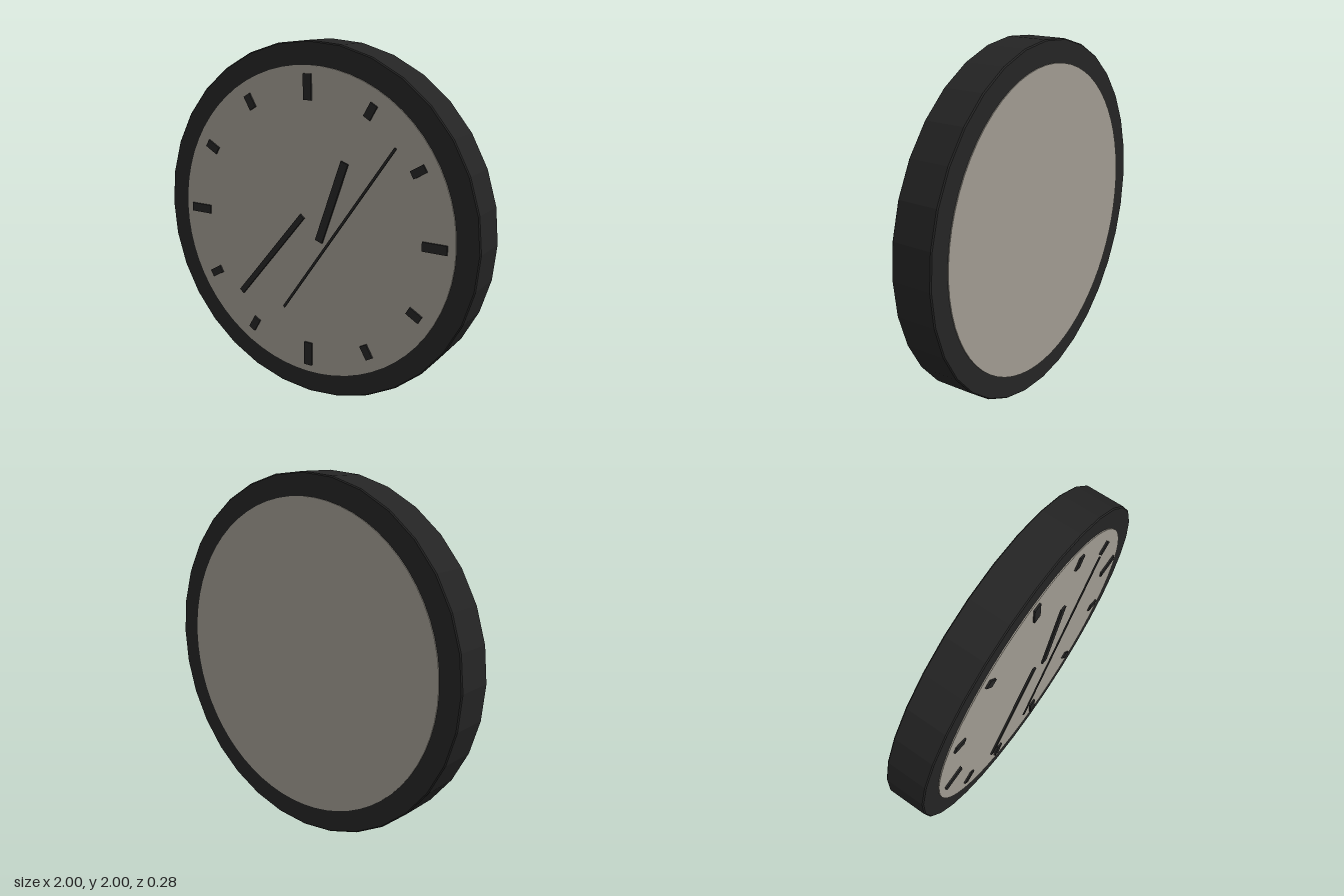
import * as THREE from 'three';

const dark = new THREE.MeshStandardMaterial({ color: 0x242424 });
dark.name = 'charcoal';
const pale = new THREE.MeshStandardMaterial({ color: 0xa09b91 });
pale.name = 'warm grey';

const CENTER_Y = 1;

function add(parent, name, geometry, material) {
  const mesh = new THREE.Mesh(geometry, material);
  mesh.name = name;
  parent.add(mesh);
  return mesh;
}

// Thin bar on the dial, tilted clockwise from twelve o'clock
function bar(parent, name, [x, y, z], width, length, depth, degrees) {
  const mesh = add(parent, name, new THREE.BoxGeometry(width, length, depth), dark);
  mesh.position.set(x, y, z);
  mesh.rotation.z = -THREE.MathUtils.degToRad(degrees);
  return mesh;
}

export function createModel() {
  const clock = new THREE.Group();
  clock.name = 'wallClock';
  const body = new THREE.Group();
  body.name = 'clockBody';
  body.position.y = CENTER_Y;
  clock.add(body);

  // Faceted rim with slightly bevelled outer edges
  const profile = [
    [0.85, -0.136], [0.994, -0.136], [1, -0.13], [1, 0.09],
    [0.994, 0.096], [0.85, 0.096], [0.85, -0.136],
  ].map(([r, h]) => new THREE.Vector2(r, h));
  const rim = new THREE.LatheGeometry(profile, 32).toNonIndexed();
  rim.computeVertexNormals();
  rim.rotateX(Math.PI / 2);
  add(body, 'rim', rim, dark);

  // Dial disc, standing just proud of the rim on both sides
  const dial = new THREE.CylinderGeometry(0.873, 0.873, 0.243, 64);
  dial.rotateX(Math.PI / 2);
  add(body, 'dial', dial, pale).position.z = -0.0195;

  // Hour marks, longer at each quarter
  const marks = new THREE.Group();
  marks.name = 'hourMarks';
  body.add(marks);
  for (let i = 0; i < 12; i++) {
    const a = (i * Math.PI) / 6;
    const quarter = i % 3 === 0;
    bar(marks, quarter ? 'quarterMark' : 'hourMark',
      [0.76 * Math.sin(a), 0.76 * Math.cos(a), 0.106],
      quarter ? 0.05 : 0.045, quarter ? 0.138 : 0.083, 0.012, i * 30);
  }

  // Hands
  bar(body, 'hourHand', [0.16, 0.156, 0.12], 0.046, 0.48, 0.012, 19.4);
  bar(body, 'minuteHand', [-0.24, -0.202, 0.124], 0.033, 0.675, 0.012, 39.7);
  bar(body, 'secondHand', [0.2, 0, 0.138], 0.014, 1.2, 0.008, 35);

  return clock;
}
